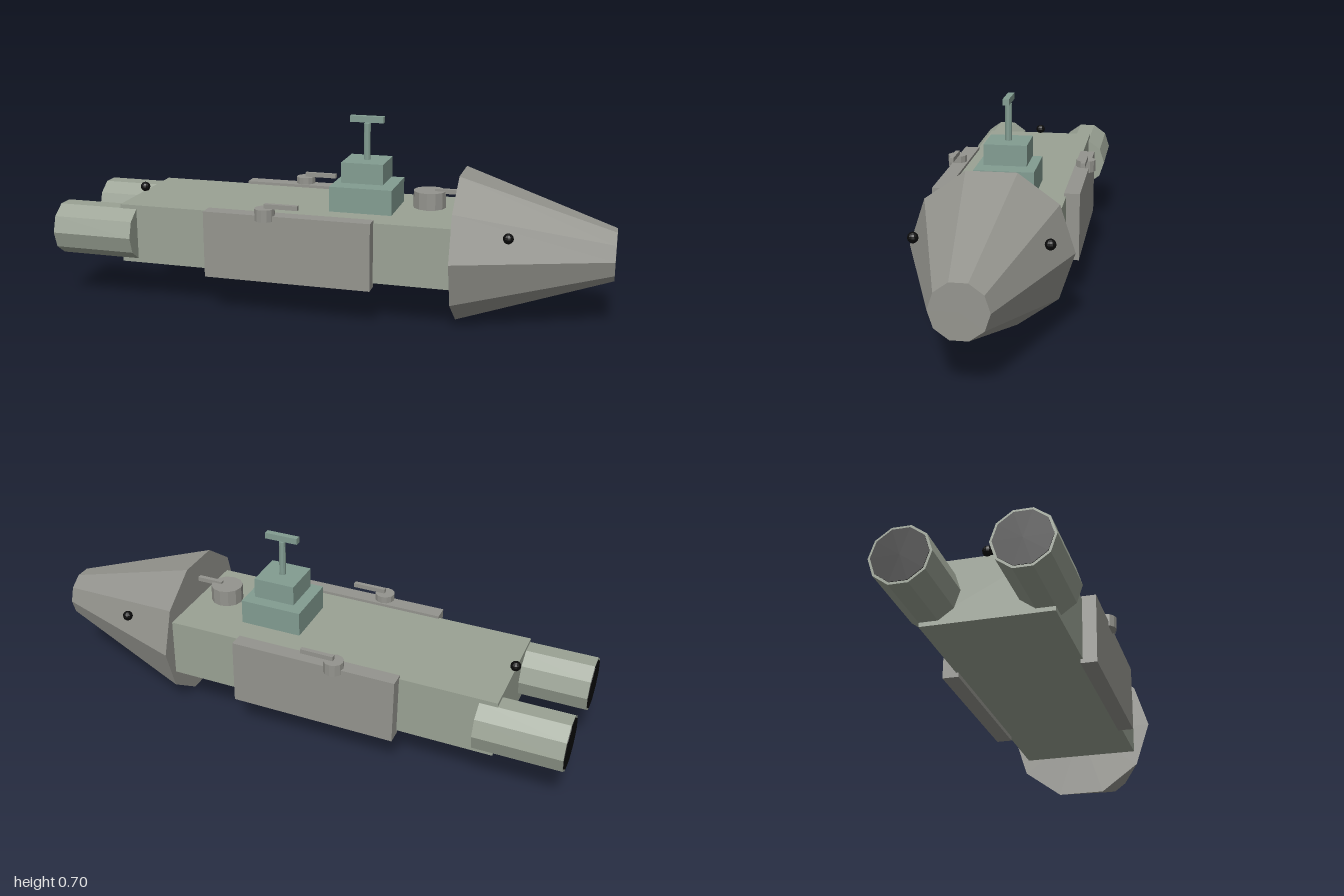
import * as THREE from 'three';

const mat = (color) => new THREE.MeshStandardMaterial({ color, flatShading: true });

export function createModel() {
  const model = new THREE.Group();
  const hullMat = mat(0x9aa294);
  const armourMat = mat(0x94948e);
  const bridgeMat = mat(0x829c91);
  const darkMat = mat(0x0a0a0a);

  const add = (name, geometry, material, x, y, z) => {
    const mesh = new THREE.Mesh(geometry, material);
    mesh.name = name;
    mesh.position.set(x, y, z);
    model.add(mesh);
    return mesh;
  };

  // Box given by its limits on each axis
  const box = (name, material, [x0, x1], [y0, y1], [z0, z1]) =>
    add(name, new THREE.BoxGeometry(x1 - x0, y1 - y0, z1 - z0), material,
      (x0 + x1) / 2, (y0 + y1) / 2, (z0 + z1) / 2);

  // Ten-sided cylinder lying along x, with flats at top and bottom
  const lying = (name, material, rBack, rFront, x0, x1, y, z) => {
    const g = new THREE.CylinderGeometry(rFront, rBack, x1 - x0, 10);
    g.rotateZ(-Math.PI / 2);
    return add(name, g, material, (x0 + x1) / 2, y, z);
  };

  // Gun mount with a single barrel pointing forward
  const turret = (name, x, z, r, y0, y1, barrelX, barrelY) => {
    add(name + 'Base', new THREE.CylinderGeometry(r, r, y1 - y0, 12), armourMat, x, (y0 + y1) / 2, z);
    box(name + 'Barrel', armourMat, barrelX, barrelY, [z - 0.008, z + 0.008]);
  };

  // Hull and tapered nose
  box('hull', hullMat, [-0.745, 0.47], [0.155, 0.37], [-0.212, 0.212]);
  lying('nose', armourMat, 0.273, 0.091, 0.467, 1, 0.262, 0);

  // Mirrored engines, side armour, guns and nose lights
  for (const [side, s] of [['left', -1], ['right', 1]]) {
    const z = s * 0.181;
    lying(side + 'Engine', hullMat, 0.098, 0.098, -0.985, -0.683, 0.2625, z);
    lying(side + 'Exhaust', darkMat, 0.09, 0.09, -0.987, -0.97, 0.2625, z);
    box(side + 'Armour', armourMat, [-0.405, 0.197], [0.14, 0.38],
      s > 0 ? [0.204, 0.259] : [-0.259, -0.204]);
    turret(side + 'Gun', -0.181, s * 0.245, 0.036, 0.362, 0.405, [-0.181, -0.06], [0.405, 0.421]);
    add(side + 'NoseLight', new THREE.SphereGeometry(0.018, 12, 8), darkMat, 0.655, 0.353, s * 0.214);
  }

  // Rear light and forward gun
  add('rearLight', new THREE.SphereGeometry(0.018, 12, 8), darkMat, -0.745, 0.385, 0);
  turret('forwardGun', 0.351, 0, 0.058, 0.385, 0.445, [0.37, 0.49], [0.437, 0.453]);

  // Stepped bridge with mast and crossbar
  box('lowerBridge', bridgeMat, [0.01, 0.236], [0.37, 0.46], [-0.105, 0.105]);
  box('upperBridge', bridgeMat, [0.046, 0.198], [0.47, 0.543], [-0.075, 0.075]);
  add('mast', new THREE.CylinderGeometry(0.012, 0.012, 0.13, 10), bridgeMat, 0.122, 0.608, 0);
  box('mastBar', bridgeMat, [0.061, 0.183], [0.677, 0.699], [-0.011, 0.011]);

  return model;
}
